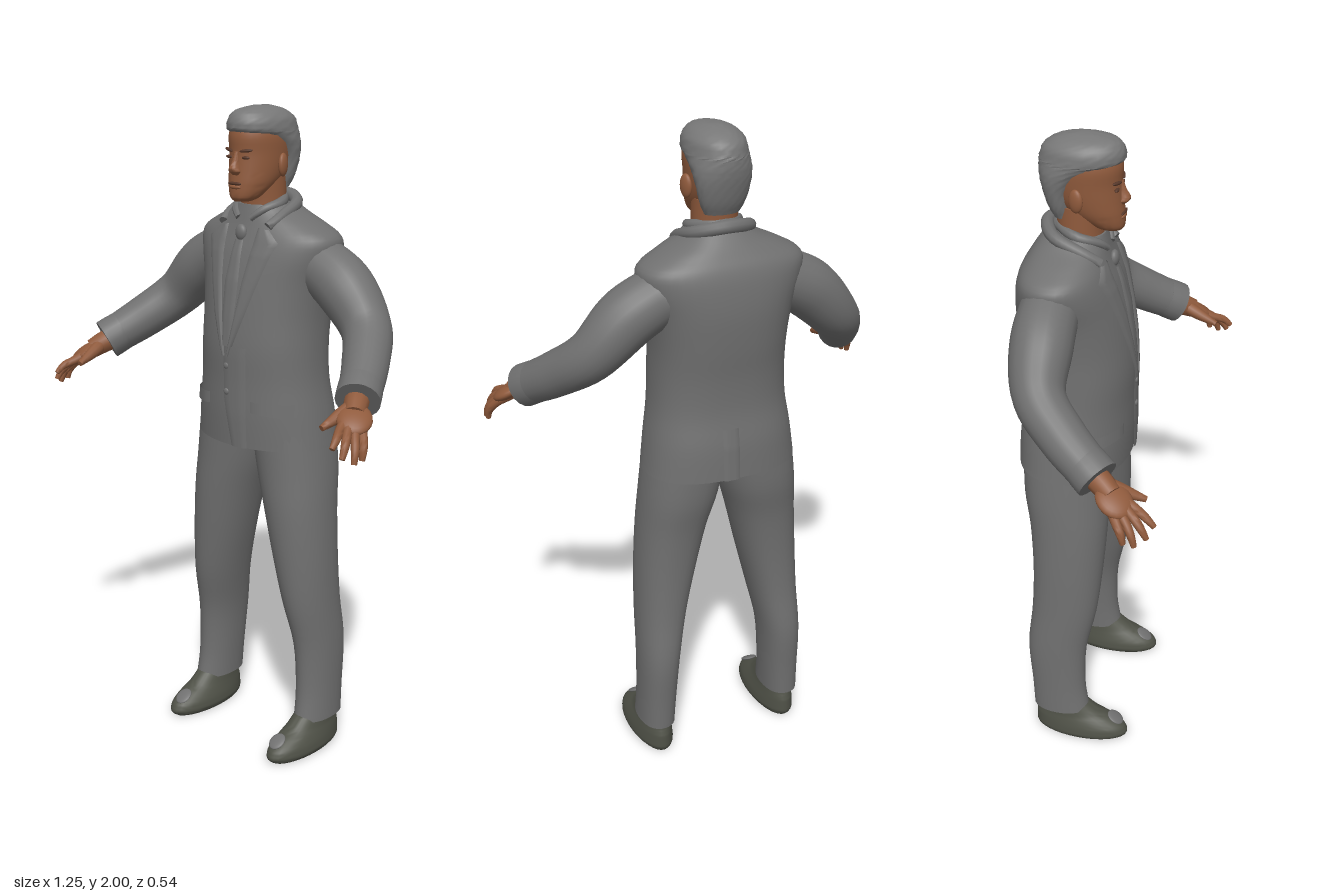
import * as THREE from 'three';
import { mergeVertices, toCreasedNormals } from 'three/addons/utils/BufferGeometryUtils.js';

const mat = (name, color, side = THREE.FrontSide) => {
  const m = new THREE.MeshStandardMaterial({ color, side });
  m.name = name;
  return m;
};

// Catmull-Rom blend of rows of numbers, t from 0 to rows.length - 1
function blend(rows, t) {
  const n = rows.length - 1, i = Math.min(Math.floor(t), n - 1), f = t - i;
  const [a, b, c, d] = [i - 1, i, i + 1, i + 2].map(k => rows[Math.max(0, Math.min(n, k))]);
  return b.map((v, k) => 0.5 * (2 * v + (c[k] - a[k]) * f
    + (2 * a[k] - 5 * v + 4 * c[k] - d[k]) * f * f
    + (3 * v - a[k] - 3 * c[k] + d[k]) * f * f * f));
}

// Body skinned over rows of [y, xMin, xMax, zFront, zBack]; p squares off the back
function loft(rows, { p = 2, sides = 32, sub = 4, ripple = 0 } = {}) {
  const pos = [], idx = [], count = (rows.length - 1) * sub + 1;
  const pow = (v, e) => Math.sign(v) * Math.abs(v) ** e;
  for (let r = 0; r < count; r++) {
    const [y, x0, x1, zf, zb] = blend(rows, r / sub);
    for (let j = 0; j < sides; j++) {
      const a = j / sides * Math.PI * 2, s = Math.sin(a), c = Math.cos(a);
      const e = s < 0 ? 2 / p : 1;
      const k = 1 + ripple * Math.sin(j * 2.7 + r * 1.9);
      pos.push((x0 + x1) / 2 + (x1 - x0) / 2 * pow(c, e) * k, y, (zf + zb) / 2 + (zf - zb) / 2 * pow(s, e) * k);
    }
  }
  for (let r = 0; r < count - 1; r++) for (let j = 0; j < sides; j++) {
    const a = r * sides + j, b = r * sides + (j + 1) % sides;
    idx.push(a, a + sides, b, b, a + sides, b + sides);
  }
  // flat end caps
  const top = (count - 1) * sides;
  for (let j = 1; j < sides - 1; j++) idx.push(0, j, j + 1, top, top + j + 1, top + j);
  const g = new THREE.BufferGeometry();
  g.setAttribute('position', new THREE.Float32BufferAttribute(pos, 3));
  g.setIndex(idx);
  return toCreasedNormals(g, 0.8);
}

// Tapered tube with flat ends through points, radii evenly spaced along it
function limb(points, radii, seg = 20, sides = 16) {
  const curve = new THREE.CatmullRomCurve3(points.map(q => new THREE.Vector3(...q)));
  let g = new THREE.TubeGeometry(curve, seg, 1, sides);
  const P = g.attributes.position, v = new THREE.Vector3();
  const rr = radii.map(r => [r]);
  for (let i = 0; i < P.count; i++) {
    const ring = Math.floor(i / (sides + 1)), end = ring === 0 || ring === seg;
    const c = curve.getPointAt(ring / seg);
    v.fromBufferAttribute(P, i).sub(c).multiplyScalar(blend(rr, ring / seg * (rr.length - 1))[0]);
    if (end) v.set(0, 0, 0).add(curve.getPointAt(ring === 0 ? 1 / seg : 1 - 1 / seg));
    else v.add(c);
    P.setXYZ(i, v.x, v.y, v.z);
  }
  g.deleteAttribute('uv');
  g.deleteAttribute('normal');
  g = mergeVertices(g, 1e-5);
  return toCreasedNormals(g, 0.9);
}

const sym = rows => rows.map(([y, r, zf, zb]) => [y, -r, r, zf, zb]);
const torsoRows = sym([[1.0, .238, .065, -.27], [1.1, .225, .07, -.265], [1.2, .21, .07, -.25],
  [1.3, .205, .073, -.25], [1.4, .206, .065, -.26], [1.5, .22, .05, -.265], [1.58, .245, .03, -.258],
  [1.63, .245, .012, -.245], [1.665, .19, 0, -.225], [1.695, .125, -.008, -.205], [1.72, .088, -.015, -.185]]);

// Depth of the jacket surface at a point of the front (side 1) or back (side -1)
function jacketZ(x, y, side) {
  let i = 0;
  while (i < torsoRows.length - 2 && torsoRows[i + 1][0] < y) i++;
  const f = (y - torsoRows[i][0]) / (torsoRows[i + 1][0] - torsoRows[i][0]);
  const [, , r, zf, zb] = torsoRows[i].map((v, k) => v + (torsoRows[i + 1][k] - v) * f);
  const p = side > 0 ? 2 : 2.5;
  const k = Math.max(0, 1 - Math.abs(x / r) ** p) ** (1 / p);
  return (zf + zb) / 2 + side * (zf - zb) / 2 * k;
}

// Thin cloth plate laid on the jacket, rows of [yA, xA, yB, xB]
function panel(rows, lift, side = 1) {
  const g = new THREE.PlaneGeometry(1, 1, 6, 16), P = g.attributes.position;
  for (let i = 0; i < P.count; i++) {
    const u = P.getX(i) + .5, t = (.5 - P.getY(i)) * (rows.length - 1);
    const k = Math.min(Math.floor(t), rows.length - 2), f = t - k;
    const [ya, xa, yb, xb] = rows[k].map((v, n) => v + (rows[k + 1][n] - v) * f);
    const x = xa + (xb - xa) * u, y = ya + (yb - ya) * u;
    const rim = u < .01 || u > .99 ? .3 : 1;
    P.setXYZ(i, x, y, jacketZ(x, y, side) + side * lift * rim);
  }
  g.computeVertexNormals();
  return g;
}

export function createModel() {
  const model = new THREE.Group();
  model.name = 'suitedMan';
  const suit = mat('suitGrey', 0x707070, THREE.DoubleSide);
  const hair = mat('hairGrey', 0x777777);
  const skin = mat('skinBrown', 0x8f5a3c);
  const dark = mat('darkBrown', 0x57382a);
  const shoe = mat('shoeOlive', 0x4f5147);
  const add = (name, geo, m, parent = model) => {
    const mesh = new THREE.Mesh(geo, m);
    mesh.name = name;
    parent.add(mesh);
    return mesh;
  };
  const ball = (name, m, at, size, parent = model) => {
    const b = add(name, new THREE.SphereGeometry(1, 20, 14), m, parent);
    b.position.set(...at);
    b.scale.set(...size);
    return b;
  };

  // Jacket body, tie, front edge, buttons and back vent
  add('jacket', loft(torsoRows, { p: 2.5, sides: 40 }), suit);
  add('tie', panel([[1.62, -.016, 1.62, .016], [1.5, -.026, 1.5, .026], [1.31, -.02, 1.31, .02]], .006), suit);
  ball('tieKnot', suit, [0, 1.64, .008], [.021, .025, .014]);
  add('frontEdge', panel([[1.31, -.012, 1.31, .07], [1.15, -.012, 1.15, .07], [1.0, .015, 1.0, .07]], .006), suit);
  add('backVent', panel([[1.16, 0, 1.16, .05], [1.0, 0, 1.0, .05]], .006, -1), suit);
  for (const y of [1.25, 1.17]) ball('button', suit, [.002, y, .076], [.01, .01, .005]);

  // Collar, shirt collar and neck
  const around = half => [...half, ...half.slice(0, -1).reverse().map(([x, y, z]) => [-x, y, z])];
  add('jacketCollar', limb(around([[.085, 1.655, .004], [.1, 1.69, -.055], [.08, 1.722, -.145], [0, 1.738, -.182]]),
    [.014, .018, .02, .018, .014], 32, 10), suit);
  add('shirtCollar', limb(around([[.014, 1.672, -.002], [.052, 1.705, -.025], [.072, 1.725, -.085], [0, 1.738, -.155]]),
    [.01, .015, .015, .015, .01], 32, 10), suit);
  add('neck', loft(sym([[1.65, .068, -.015, -.155], [1.72, .066, -.02, -.155], [1.8, .064, -.01, -.16]])), skin);

  // Head and hair
  add('head', loft(sym([[1.732, .024, .03, -.03], [1.745, .044, .038, -.06], [1.78, .064, .038, -.12],
    [1.82, .074, .034, -.16], [1.87, .079, .03, -.18], [1.92, .08, .032, -.18], [1.96, .066, .015, -.165],
    [1.98, .04, -.02, -.13]])), skin);
  add('hair', loft(sym([[1.765, .052, -.105, -.163], [1.8, .068, -.1, -.18], [1.85, .08, -.09, -.195],
    [1.89, .086, -.055, -.203], [1.92, .087, .005, -.204], [1.935, .087, .038, -.202], [1.965, .08, .036, -.19],
    [1.988, .056, .015, -.155], [2.0, .02, -.04, -.11]]), { ripple: .012, sides: 36 }), hair);
  add('nose', loft(sym([[1.808, .013, .038, .015], [1.82, .019, .052, .015], [1.83, .014, .054, .015],
    [1.85, .009, .042, .015], [1.875, .008, .034, .015]]), { sides: 16 }), skin);
  ball('upperLip', dark, [0, 1.784, .036], [.026, .005, .006]);
  ball('lowerLip', skin, [0, 1.774, .034], [.022, .007, .008]);

  // Parts made once and mirrored to the other side
  for (const s of [1, -1]) {
    const half = new THREE.Group();
    half.name = s > 0 ? 'leftSide' : 'rightSide';
    half.scale.x = s;
    model.add(half);

    // Face
    ball('ear', skin, [.083, 1.835, -.08], [.012, .034, .022], half).rotation.y = .3;
    ball('eye', dark, [.032, 1.858, .023], [.014, .005, .006], half);
    const brow = ball('eyebrow', dark, [.034, 1.878, .024], [.021, .005, .006], half);
    brow.rotation.set(0, .35, .12);

    // Lapel and pocket flap
    add('lapel', panel([[1.66, .06, 1.655, .095], [1.61, .056, 1.62, .135], [1.58, .052, 1.57, .115],
      [1.42, .028, 1.4, .058], [1.28, .004, 1.28, .012]], .009), suit, half);
    add('pocketFlap', panel([[1.15, .085, 1.145, .195], [1.115, .085, 1.105, .195]], .009), suit, half);

    // Sleeve
    add('sleeve', limb([[.17, 1.56, -.13], [.28, 1.5, -.125], [.385, 1.395, -.105], [.455, 1.32, -.02],
      [.525, 1.243, .1]], [.085, .088, .074, .067, .06], 28, 20), suit, half);
    add('cuff', limb([[.49, 1.281, .04], [.508, 1.262, .07], [.526, 1.242, .102]], [.062, .064, .064], 8, 20), suit, half);
    for (let i = 0; i < 3; i++)
      ball('cuffButton', suit, [.535 - i * .014, 1.285 + i * .016, .022 - i * .022], [.008, .008, .008], half);

    // Hand: palm, four fingers and thumb
    const palm = ball('palm', skin, [.555, 1.213, .148], [.05, .021, .058], half);
    palm.rotation.set(.6, .5, -.45);
    add('wrist', limb([[.5, 1.262, .06], [.525, 1.24, .105], [.55, 1.215, .145]], [.036, .035, .03], 10, 12), skin, half);
    const fingers = [
      ['indexFinger', [.55, 1.195, .2], [.575, 1.15, .27]],
      ['middleFinger', [.57, 1.187, .195], [.597, 1.12, .252]],
      ['ringFinger', [.586, 1.177, .182], [.615, 1.102, .22]],
      ['littleFinger', [.598, 1.172, .163], [.616, 1.108, .188]]];
    for (const [name, k, tip] of fingers) {
      const mid = k.map((v, i) => (v + tip[i]) / 2 + [.006, .006, .004][i]);
      add(name, limb([[.532, 1.232, .115], k, mid, tip], [.02, .019, .014, .012, .007], 16, 10), skin, half);
    }
    add('thumb', limb([[.522, 1.235, .12], [.512, 1.212, .175], [.503, 1.19, .232]], [.022, .02, .014, .008], 14, 10), skin, half);

    // Trouser leg
    add('trouserLeg', loft([[.1, .165, .278, -.02, -.205], [.2, .16, .276, -.034, -.21], [.35, .148, .275, -.03, -.22],
      [.5, .118, .27, 0, -.207], [.65, .082, .265, .015, -.205], [.8, .046, .256, .024, -.215],
      [.92, .012, .246, .026, -.235], [1.05, -.01, .23, .03, -.24]], { p: 2.3 }), suit, half);

    // Shoe with pale toe patch
    add('shoe', loft([[.005, .165, .275, .095, -.19], [.02, .156, .285, .11, -.2], [.045, .158, .283, .1, -.2],
      [.07, .165, .276, .06, -.198], [.09, .17, .27, .02, -.19], [.125, .176, .265, -.025, -.18]]), shoe, half)
      .position.y = -.005;
    ball('toePatch', suit, [.213, .062, .068], [.026, .007, .03], half).rotation.x = .55;
  }
  return model;
}
